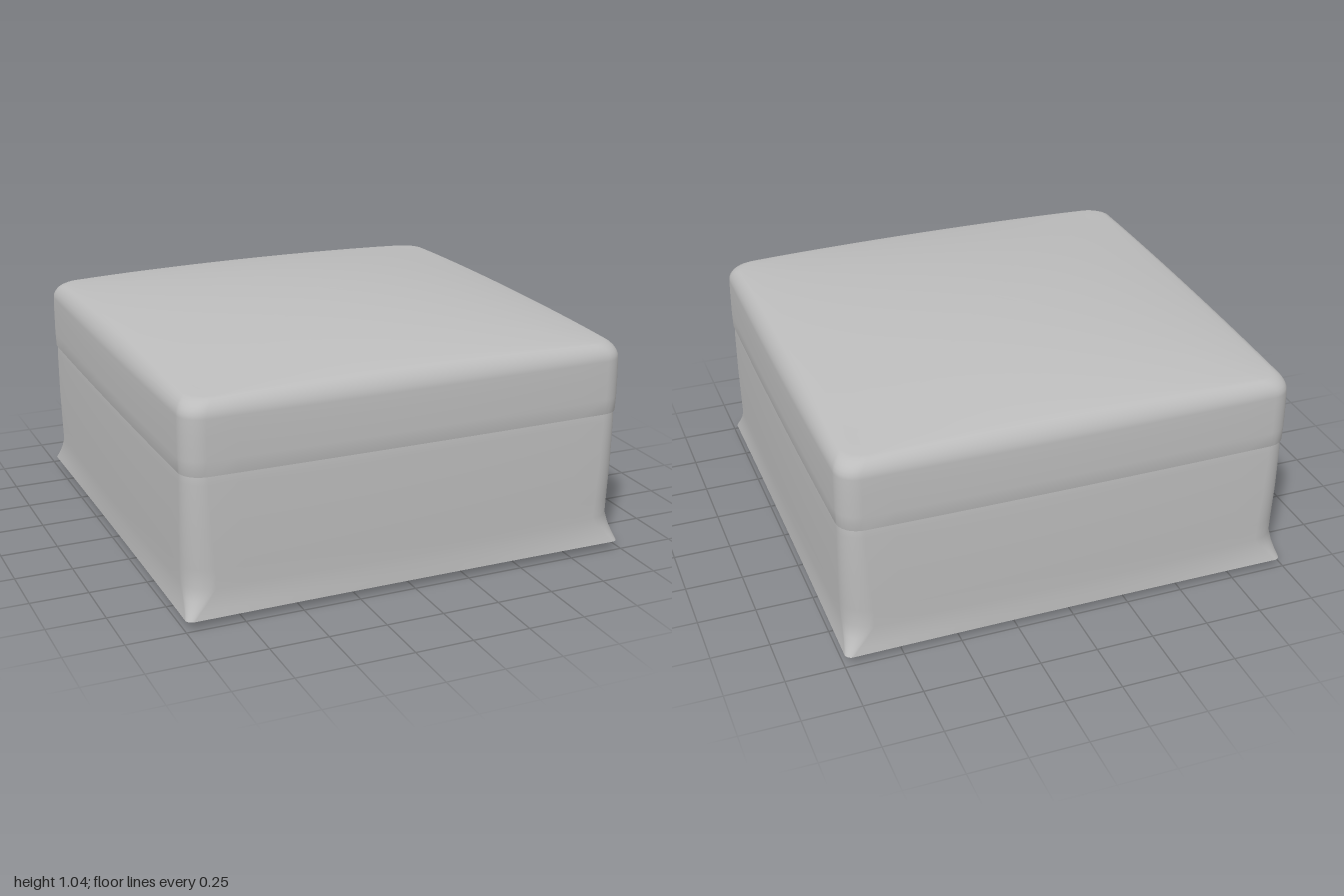
import * as THREE from 'three';

const ARC = 8, SIDE = 14; // steps per rounded corner and per straight side

// Rounded square outline, counterclockwise from above, with gently bowed sides
function outline(half, radius, bow) {
  const pts = [];
  const c = half - radius;
  for (let k = 0; k < 4; k++) {
    const turn = (k * Math.PI) / 2;
    const add = (u, v) => {
      const out = u + bow * (1 - Math.min(1, (v / half) ** 2));
      pts.push([out * Math.cos(turn) - v * Math.sin(turn), -(out * Math.sin(turn) + v * Math.cos(turn))]);
    };
    for (let i = 0; i < SIDE; i++) add(half, -c + (2 * c * i) / SIDE);
    for (let i = 0; i < ARC; i++) {
      const a = (i / ARC) * (Math.PI / 2);
      add(c + radius * Math.cos(a), c + radius * Math.sin(a));
    }
  }
  return pts;
}

// Skin between rings given as [half, y, radius, bow]; lift(x, z) adds to the height
function loft(rings, lift = () => 0) {
  const pos = [], idx = [];
  let n = 0;
  for (const [half, y, radius, bow] of rings) {
    const pts = outline(half, radius, bow);
    n = pts.length;
    for (const [x, z] of pts) pos.push(x, y + lift(x, z, y), z);
  }
  for (let j = 0; j < rings.length - 1; j++) {
    for (let i = 0; i < n; i++) {
      const a = j * n + i, b = j * n + ((i + 1) % n);
      idx.push(a, b, b + n, a, b + n, a + n);
    }
  }
  const g = new THREE.BufferGeometry();
  g.setAttribute('position', new THREE.Float32BufferAttribute(pos, 3));
  g.setIndex(idx);
  g.computeVertexNormals();
  return g;
}

export function createModel() {
  const group = new THREE.Group();
  const fabric = new THREE.MeshStandardMaterial({ color: 0xbcbcbc, side: THREE.DoubleSide });
  fabric.name = 'grey fabric';
  const add = (name, geometry) => {
    const mesh = new THREE.Mesh(geometry, fabric);
    mesh.name = name;
    group.add(mesh);
    return mesh;
  };

  // Cushion cover: short sides, rolled edge and a domed top
  const cover = [
    [0.972, 0.636, 0.09, 0.006],
    [0.98, 0.636, 0.09, 0.008],
    [0.982, 0.7, 0.09, 0.008],
    [0.982, 0.8, 0.09, 0.007],
    [0.981, 0.87, 0.09, 0.006],
  ];
  for (let i = 1; i <= 6; i++) {
    const a = (i / 6) * (Math.PI / 2);
    cover.push([0.926 + 0.055 * Math.cos(a), 0.87 + 0.06 * Math.sin(a), 0.09, 0.005 * Math.cos(a)]);
  }
  for (const s of [0.88, 0.8, 0.7, 0.6, 0.5, 0.4, 0.3, 0.2, 0.1, 0.001]) {
    cover.push([s, 0.93, 0.09 * s, 0]);
  }
  const crown = (x, z, y) => {
    if (y < 0.87) return 0;
    const f = Math.max(0, 1 - x * x) * Math.max(0, 1 - z * z);
    return 0.116 * Math.pow(f, 0.75) * Math.min(1, (y - 0.87) / 0.06);
  };
  add('cushionCover', loft(cover, crown));

  // Skirt: pinched near the hem, with sharp flared corners at the bottom
  add('skirt', loft([
    [0.992, 0.04, 0.03, -0.004],
    [0.984, 0.07, 0.05, 0.002],
    [0.977, 0.11, 0.08, 0.006],
    [0.974, 0.16, 0.11, 0.008],
    [0.976, 0.24, 0.11, 0.008],
    [0.978, 0.4, 0.1, 0.008],
    [0.977, 0.6, 0.09, 0.007],
    [0.974, 0.64, 0.09, 0.006],
  ]));

  // Base panel set up inside the skirt, facing down
  add('basePanel', loft([
    [0.001, 0.3, 0.0005, 0],
    [0.5, 0.3, 0.05, 0],
    [0.974, 0.3, 0.11, 0.007],
  ]));

  // Four tapered square legs with bevelled corners
  const legShape = (half, bevel) => {
    const s = new THREE.Shape();
    const p = [];
    for (const [sx, sy] of [[1, 1], [-1, 1], [-1, -1], [1, -1]]) {
      const u = [sx * half, sy * (half - bevel)], v = [sx * (half - bevel), sy * half];
      p.push(...(sx * sy > 0 ? [u, v] : [v, u]));
    }
    s.setFromPoints(p.map(([x, y]) => new THREE.Vector2(x, y)));
    return s;
  };
  const legGeometry = new THREE.ExtrudeGeometry(legShape(0.075, 0.02), { depth: 0.3, bevelEnabled: false });
  legGeometry.rotateX(-Math.PI / 2);
  const p = legGeometry.attributes.position;
  for (let i = 0; i < p.count; i++) {
    const k = p.getY(i) < 0.15 ? 0.58 : 1;
    p.setXYZ(i, p.getX(i) * k, p.getY(i), p.getZ(i) * k);
  }
  legGeometry.computeVertexNormals();
  for (const sx of [1, -1]) {
    for (const sz of [1, -1]) {
      const name = (sz > 0 ? 'front' : 'back') + (sx > 0 ? 'Left' : 'Right') + 'Leg';
      add(name, legGeometry).position.set(sx * 0.853, 0.005, sz * 0.867);
    }
  }
  return group;
}
